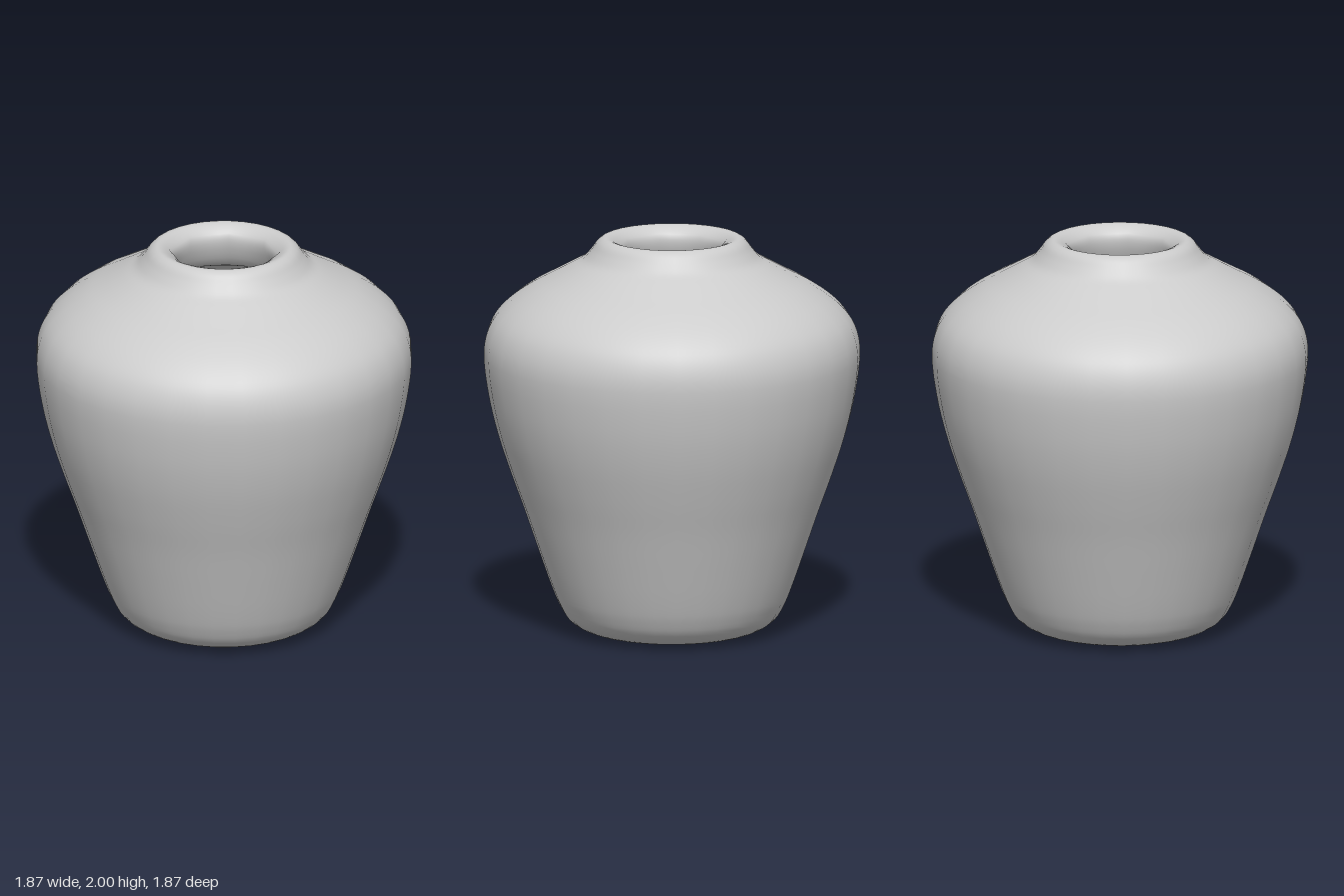
import * as THREE from 'three';

const SEGMENTS = 32;

// Smooth curve through a few [radius, height] points
function profile(points, samples) {
  const curve = new THREE.CatmullRomCurve3(points.map(([r, y]) => new THREE.Vector3(r, y, 0)));
  return curve.getPoints(samples).map(
    (p) => new THREE.Vector2(Math.max(0, p.x), THREE.MathUtils.clamp(p.y, 0, 2)));
}

// Pulls the narrow throat from a circle towards an octagon
function makeThroatOctagonal(geometry) {
  const pos = geometry.attributes.position;
  const side = Math.PI / 4;
  for (let i = 0; i < pos.count; i++) {
    const x = pos.getX(i), y = pos.getY(i), z = pos.getZ(i);
    if (y < 1.7) continue;
    const w = THREE.MathUtils.clamp((0.31 - Math.hypot(x, z)) / 0.045, 0, 1);
    const angle = Math.atan2(x, z) + 2 * Math.PI;
    const octagon = Math.cos(side / 2) / Math.cos((angle % side) - side / 2);
    const k = THREE.MathUtils.lerp(1, octagon, w);
    pos.setXYZ(i, x * k, y, z * k);
  }
}

export function createModel() {
  const group = new THREE.Group();
  group.name = 'vase';

  // Outside: slightly dimpled base, tapered body, shoulder and neck
  const outside = [
    [0, 0.025], [0.04, 0.008], [0.2, 0.003], [0.34, 0.005], [0.45, 0.032], [0.52, 0.08],
    [0.565, 0.155], [0.6, 0.24], [0.67, 0.44], [0.735, 0.63], [0.8, 0.81],
    [0.865, 1.01], [0.91, 1.2], [0.935, 1.4], [0.925, 1.5], [0.89, 1.585],
    [0.82, 1.665], [0.71, 1.745], [0.6, 1.805], [0.5, 1.86], [0.44, 1.895],
    [0.4, 1.94], [0.37, 1.98], [0.345, 1.997], [0.325, 2],
  ];
  // Inside: rolled lip, throat and hollow cavity down to the floor
  const inside = [
    [0.295, 1.988], [0.26, 1.95], [0.265, 1.88], [0.32, 1.775], [0.4, 1.74],
    [0.62, 1.66], [0.79, 1.55], [0.84, 1.4], [0.79, 1.1], [0.67, 0.7],
    [0.53, 0.27], [0.42, 0.13], [0.25, 0.1], [0, 0.1],
  ];
  const geometry = new THREE.LatheGeometry(profile([...outside, ...inside], 152), SEGMENTS);
  makeThroatOctagonal(geometry);

  const body = new THREE.Mesh(geometry, new THREE.MeshStandardMaterial({ color: 0xcccccc }));
  body.name = 'vaseBody';
  group.add(body);
  return group;
}
